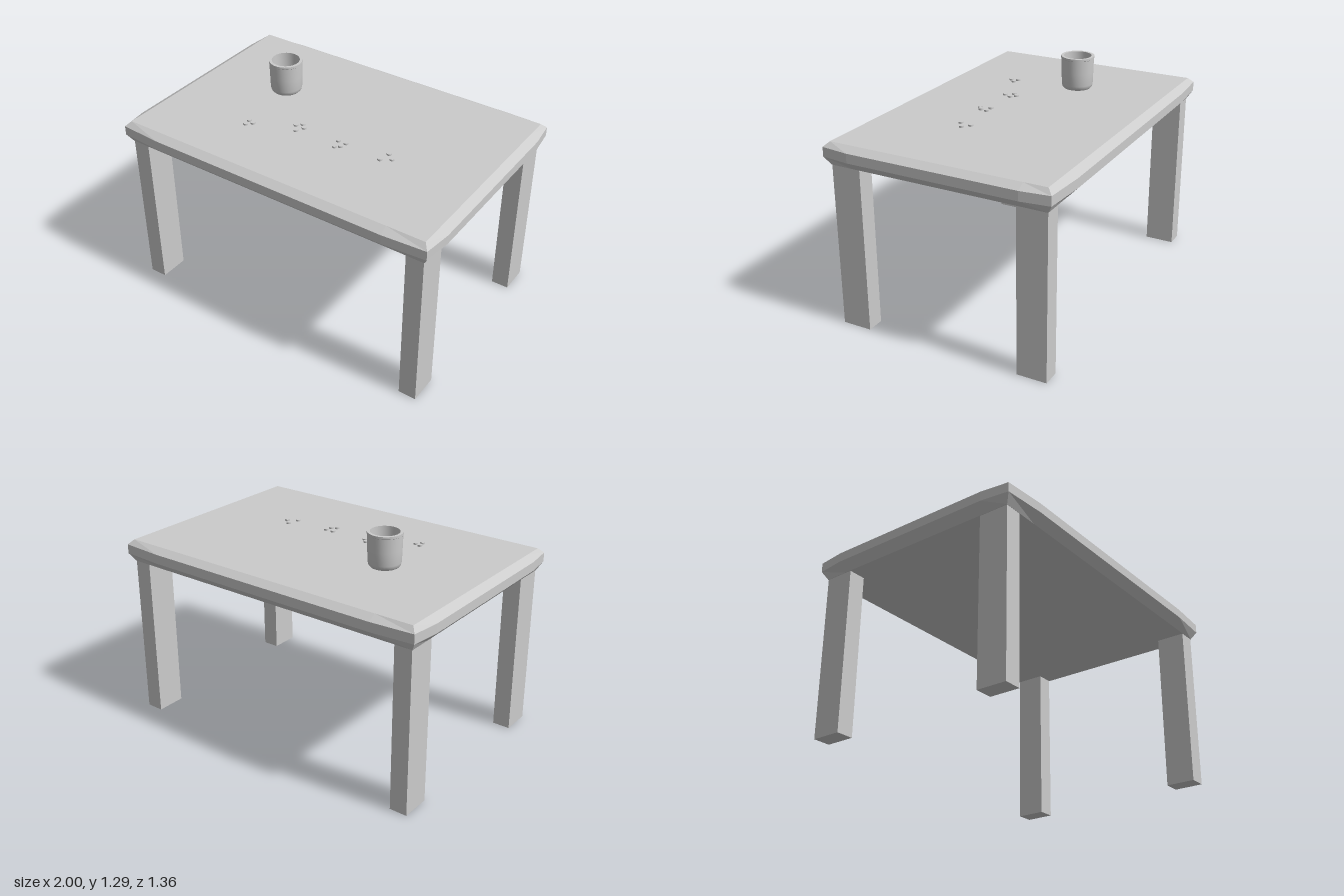
import * as THREE from 'three';
import { toCreasedNormals } from 'three/addons/utils/BufferGeometryUtils.js';

const flat = new THREE.MeshStandardMaterial({ color: 0xcccccc, flatShading: true });
const smooth = new THREE.MeshStandardMaterial({ color: 0xcccccc, side: THREE.DoubleSide });

function add(parent, name, geometry, material, x = 0, y = 0, z = 0) {
  const mesh = new THREE.Mesh(geometry, material);
  mesh.name = name;
  mesh.position.set(x, y, z);
  parent.add(mesh);
  return mesh;
}

// Slab with slightly bowed edges, bevelled above and below
function tabletopGeometry() {
  const outer = [
    [1, 0.5], [0.98, 0.665], [0.73, 0.682], [-0.73, 0.682], [-0.98, 0.665], [-1, 0.5],
    [-1, -0.5], [-0.98, -0.665], [-0.73, -0.682], [0.73, -0.682], [0.98, -0.665], [1, -0.5],
  ];
  const clamp = THREE.MathUtils.clamp;
  const inner = outer.map(([x, z]) => [clamp(x, -0.953, 0.953), clamp(z, -0.635, 0.635)]);
  const levels = [[inner, 0.955], [outer, 1.004], [outer, 1.058], [inner, 1.086]];
  const rings = levels.map(([ring, y]) => ring.map(([x, z]) => [x, y, z]));

  const positions = [];
  const tri = (...corners) => corners.forEach((p) => positions.push(...p));
  const n = outer.length;
  for (let i = 0; i < n; i++) {
    const j = (i + 1) % n;
    for (let k = 0; k < rings.length - 1; k++) {
      const lower = rings[k], upper = rings[k + 1];
      tri(lower[i], upper[i], upper[j]);
      tri(lower[i], upper[j], lower[j]);
    }
    tri([0, 0.955, 0], rings[0][i], rings[0][j]);
    tri([0, 1.086, 0], rings[3][j], rings[3][i]);
  }
  const geometry = new THREE.BufferGeometry();
  geometry.setAttribute('position', new THREE.Float32BufferAttribute(positions, 3));
  geometry.computeVertexNormals();
  return geometry;
}

// Hollow cup: up the outside, over the rim, down the inside
function cupGeometry() {
  const profile = [
    [0, 0], [0.079, 0], [0.088, 0.01], [0.092, 0.027], [0.094, 0.1], [0.096, 0.18],
    [0.098, 0.182], [0.098, 0.195], [0.081, 0.195], [0.079, 0.1], [0.077, 0.03], [0.068, 0.02], [0, 0.02],
  ].map(([r, y]) => new THREE.Vector2(r, y));
  return toCreasedNormals(new THREE.LatheGeometry(profile, 32), 0.6);
}

export function createModel() {
  const group = new THREE.Group();
  group.name = 'table';

  add(group, 'tabletop', tabletopGeometry(), flat);

  // Four legs, flush with the underside edges
  const legGeometry = new THREE.BoxGeometry(0.103, 0.957, 0.173);
  for (const [side, x] of [['Left', 0.899], ['Right', -0.899]]) {
    for (const [end, z] of [['front', 0.547], ['back', -0.547]]) {
      add(group, `${end}${side}Leg`, legGeometry, flat, x, 0.4785, z);
    }
  }

  add(group, 'cup', cupGeometry(), smooth, -0.435, 1.1, -0.125);

  // Small discs scattered in four clusters
  const clusters = [
    [[-0.41, 0.26], [-0.375, 0.272], [-0.402, 0.302]],
    [[-0.135, 0.125], [-0.163, 0.152], [-0.108, 0.152], [-0.132, 0.197]],
    [[0.12, 0.15], [0.17, 0.15], [0.162, 0.19], [0.135, 0.21]],
    [[0.418, 0.105], [0.457, 0.14], [0.403, 0.176]],
  ];
  const discGeometry = toCreasedNormals(new THREE.CylinderGeometry(0.014, 0.014, 0.01, 16), 0.6);
  clusters.forEach((cluster, i) => {
    const discs = new THREE.Group();
    discs.name = `discCluster${i + 1}`;
    for (const [x, z] of cluster) add(discs, 'disc', discGeometry, smooth, x, 1.093, z);
    group.add(discs);
  });

  return group;
}
